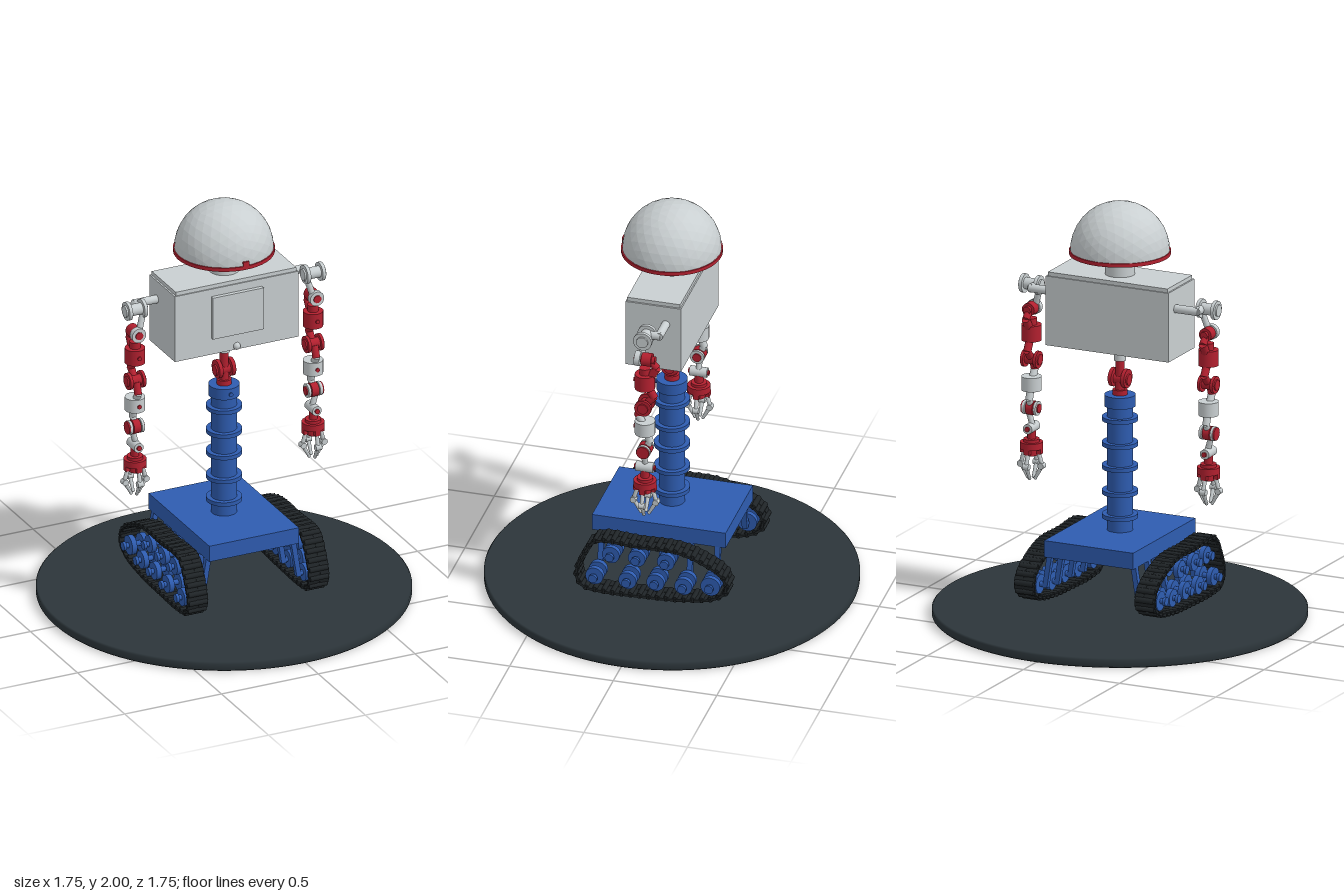
import * as THREE from 'three';

const mat = (name, color) => {
  const m = new THREE.MeshStandardMaterial({ color });
  m.name = name;
  return m;
};

export function createModel() {
  const shell = mat('light grey', 0xc9cfd1);
  const red = mat('red', 0xb3202f);
  const blue = mat('blue', 0x2e5cb0);
  const dark = mat('dark slate', 0x2c353a);
  const rubber = mat('track black', 0x1f2427);
  const root = new THREE.Group();
  const V = (x, y, z) => new THREE.Vector3(x, y, z);

  function group(name, parent = root) {
    const g = new THREE.Group();
    g.name = name;
    parent.add(g);
    return g;
  }
  function add(parent, name, geo, material, x = 0, y = 0, z = 0) {
    const m = new THREE.Mesh(geo, material);
    m.name = name;
    m.position.set(x, y, z);
    parent.add(m);
    return m;
  }
  const box = (p, name, m, w, h, d, x, y, z) => add(p, name, new THREE.BoxGeometry(w, h, d), m, x, y, z);
  const ball = (p, name, m, r, c) => add(p, name, new THREE.SphereGeometry(r, 16, 10), m, ...c);
  // Round bar between two points
  function rod(p, name, m, a, b, r, r2 = r, sides = 20) {
    const from = V(...a), dir = V(...b).sub(from), len = dir.length();
    const o = add(p, name, new THREE.CylinderGeometry(r2, r, len, sides), m);
    o.position.copy(from).addScaledVector(dir, 0.5);
    o.quaternion.setFromUnitVectors(V(0, 1, 0), dir.normalize());
    return o;
  }

  // Round stand with softened rim
  const rim = [[0, 0], [0.866, 0], [0.874, 0.008], [0.874, 0.037], [0.866, 0.045], [0, 0.045]];
  add(root, 'stand', new THREE.LatheGeometry(rim.map(p => new THREE.Vector2(...p)), 96), dark);

  // Chassis and ringed column
  box(root, 'chassis', blue, 0.463, 0.08, 0.645, 0, 0.375, -0.002);
  const column = group('column');
  rod(column, 'columnTube', blue, [0, 0.41, 0], [0, 1.05, 0], 0.061, 0.061, 32);
  for (const y of [0.484, 0.6, 0.722, 0.833, 0.955])
    rod(column, 'columnRing', blue, [0, y - 0.01, 0], [0, y + 0.01, 0], 0.084, 0.084, 32);
  rod(column, 'columnCap', blue, [0, 1.015, 0], [0, 1.07, 0], 0.073, 0.073, 32);
  rod(column, 'capBolt', blue, [0, 1.042, 0], [0, 1.042, 0.079], 0.01);

  // Caterpillar tracks with wheels and struts
  const path = [[0.27, 0.35], [0.07, 0.352], [-0.13, 0.35], [-0.26, 0.305], [-0.345, 0.25], [-0.365, 0.18],
    [-0.31, 0.132], [-0.15, 0.1], [0.05, 0.09], [0.24, 0.088], [0.335, 0.105], [0.362, 0.165], [0.32, 0.28]];
  const lowWheels = [[0.275, 0.16, 0.043], [0.115, 0.16, 0.043], [-0.02, 0.17, 0.043], [-0.155, 0.17, 0.043], [-0.285, 0.19, 0.047]];
  const topWheels = [[0.195, 0.285, 0.042], [0.07, 0.285, 0.042], [-0.07, 0.287, 0.042]];
  for (const s of [1, -1]) {
    const track = group(s > 0 ? 'leftTrack' : 'rightTrack');
    const loop = new THREE.CatmullRomCurve3(path.map(([z, y]) => V(s * 0.313, y, z)), true);
    const links = 40, pts = loop.getSpacedPoints(links);
    for (let i = 0; i < links; i++) {
      const a = pts[i], b = pts[i + 1];
      const link = group('trackLink', track);
      link.position.copy(a).add(b).multiplyScalar(0.5);
      link.rotation.x = Math.atan2(b.y - a.y, a.z - b.z);
      const len = a.distanceTo(b);
      for (const dx of [-0.03, 0.03]) box(link, 'trackPad', rubber, 0.046, 0.012, len * 0.8, dx, 0, 0);
      box(link, 'trackPlate', rubber, 0.06, 0.008, len, 0, 0, 0);
      const pin = add(link, 'trackPin', new THREE.CylinderGeometry(0.014, 0.014, 0.094, 10), rubber, 0, 0, len / 2);
      pin.rotation.z = Math.PI / 2;
    }
    for (const [z, y, r] of [...lowWheels, ...topWheels]) {
      const wheel = group('roadWheel', track);
      rod(wheel, 'wheelDisc', blue, [s * 0.27, y, z], [s * 0.295, y, z], r, r, 28);
      rod(wheel, 'wheelDisc', blue, [s * 0.331, y, z], [s * 0.356, y, z], r, r, 28);
      rod(wheel, 'axle', blue, [s * 0.235, y, z], [s * 0.375, y, z], 0.013);
      rod(wheel, 'hubCap', blue, [s * 0.372, y, z], [s * 0.386, y, z], 0.021);
      // Slanted strut from the chassis edge down to the axle
      const x0 = 0.212, x1 = 0.255 - (y - 0.16) * 0.22, y1 = y - 0.013;
      const strut = new THREE.Shape([[x0 - 0.008, 0.345], [x0 + 0.018, 0.345], [x1 + 0.006, y1], [x1 - 0.018, y1]]
        .map(([x, yy]) => new THREE.Vector2(s * x, yy)));
      add(wheel, 'strut', new THREE.ExtrudeGeometry(strut, { depth: 0.026, bevelEnabled: false }), blue, 0, 0, z - 0.013);
    }
  }

  // Waist joint
  const waist = group('waist');
  rod(waist, 'waistBase', red, [0, 1.06, 0], [0, 1.095, 0], 0.035);
  rod(waist, 'waistSocket', red, [0, 1.09, 0], [0, 1.14, 0], 0.024);
  rod(waist, 'waistPivot', red, [-0.05, 1.145, 0], [0.05, 1.145, 0], 0.026);
  for (const s of [1, -1]) rod(waist, 'waistDisc', red, [s * 0.024, 1.15, 0], [s * 0.042, 1.15, 0], 0.045);
  rod(waist, 'waistLink', red, [0, 1.14, 0], [0, 1.24, 0], 0.022);
  rod(waist, 'waistPost', shell, [0, 1.235, 0], [0, 1.295, 0], 0.029);
  rod(waist, 'waistPostTop', shell, [0, 1.295, 0], [0, 1.64, 0], 0.02);

  // Hollow torso, open underneath
  const torso = group('torso');
  const rect = (w, d, T) => {
    const t = new T();
    t.moveTo(-w, -d).lineTo(w, -d).lineTo(w, d).lineTo(-w, d).closePath();
    return t;
  };
  const wall = rect(0.319, 0.134, THREE.Shape);
  wall.holes.push(rect(0.304, 0.119, THREE.Path));
  const walls = add(torso, 'torsoWalls', new THREE.ExtrudeGeometry(wall, { depth: 0.335, bevelEnabled: false }), shell, 0, 1.3, 0);
  walls.rotation.x = -Math.PI / 2;
  box(torso, 'torsoLid', shell, 0.622, 0.02, 0.256, 0, 1.644, 0);
  box(torso, 'chestPanel', shell, 0.262, 0.212, 0.022, 0, 1.491, 0.143);
  ball(torso, 'chestKnob', shell, 0.018, [0, 1.318, 0.136]);

  // Neck and faceted dome head
  const head = group('head');
  rod(head, 'collar', shell, [0, 1.65, 0], [0, 1.712, 0], 0.07, 0.07, 32);
  rod(head, 'neck', red, [0, 1.71, 0], [0, 1.76, 0], 0.028);
  rod(head, 'neckRing', red, [0, 1.72, 0], [0, 1.737, 0], 0.039);
  rod(head, 'headPlate', red, [0, 1.752, 0], [0, 1.77, 0], 0.237, 0.237, 48);
  const dome = new THREE.IcosahedronGeometry(0.232, 5);
  const dp = dome.attributes.position;
  for (let i = 0; i < dp.count; i++) dp.setY(i, Math.max(0, dp.getY(i)));
  dome.computeVertexNormals();
  add(head, 'dome', dome, shell, 0, 1.768, 0);
  box(head, 'headLatch', red, 0.03, 0.028, 0.016, 0, 1.778, 0.23);

  // Arms: s mirrors the outward direction, local x = 0 is the arm line
  for (const s of [1, -1]) {
    const arm = group(s > 0 ? 'leftArm' : 'rightArm');
    arm.position.x = s * 0.46;
    const bar = (name, m, a, b, r, r2) => rod(arm, name, m, [s * a[0], a[1], a[2]], [s * b[0], b[1], b[2]], r, r2);
    // Hinge spool across x with a disc at each end
    const hinge = (name, y, w, r, core, discs) => {
      bar(name + 'Core', core, [-w, y, 0], [w, y, 0], r * 0.62);
      for (const e of [1, -1]) bar(name + 'Disc', discs, [e * w * 0.55, y, 0], [e * w * 0.85, y, 0], r);
    };
    bar('shoulderRod', shell, [-0.145, 1.542, -0.06], [-0.02, 1.542, -0.06], 0.02);
    bar('shoulderBracket', shell, [-0.03, 1.542, -0.068], [-0.03, 1.542, 0], 0.02);
    hinge('shoulder', 1.542, 0.055, 0.045, shell, shell);
    bar('shoulderLink', shell, [-0.035, 1.515, 0.01], [-0.012, 1.44, 0.02], 0.015);
    bar('upperPivotRing', shell, [0, 1.425, 0.018], [0, 1.425, 0.045], 0.036);
    bar('upperPivot', red, [0, 1.425, -0.05], [0, 1.425, 0.05], 0.019);
    bar('upperPivotBack', red, [0, 1.425, -0.035], [0, 1.425, 0.012], 0.032);
    bar('upperLinkTop', red, [0, 1.415, -0.03], [0, 1.385, -0.058], 0.018);
    bar('upperLinkBend', red, [0, 1.385, -0.058], [0, 1.34, -0.03], 0.02);
    bar('upperNeck', red, [0, 1.34, 0], [0, 1.38, 0], 0.026);
    bar('upperMotor', red, [0, 1.272, 0], [0, 1.348, 0], 0.048);
    bar('upperMotorBolt', red, [0, 1.31, 0], [0, 1.31, 0.054], 0.01);
    bar('upperRod', red, [0, 1.28, -0.015], [0, 1.225, -0.045], 0.019);
    bar('elbowLinkTop', red, [0, 1.23, -0.045], [0, 1.18, 0], 0.018);
    hinge('elbow', 1.18, 0.047, 0.041, red, red);
    bar('elbowLinkLow', red, [0, 1.175, 0.015], [0, 1.12, 0.035], 0.018);
    bar('elbowLinkFoot', shell, [0, 1.125, 0.034], [0, 1.085, 0.012], 0.018);
    bar('forearmMotor', shell, [0, 1.03, 0], [0, 1.097, 0], 0.048);
    bar('forearmBolt', red, [0, 1.062, 0], [0, 1.062, 0.053], 0.01);
    bar('forearmRod', shell, [0, 1.035, -0.01], [0, 0.985, -0.025], 0.018);
    bar('forearmLink', shell, [0, 0.99, -0.025], [0, 0.94, 0], 0.016);
    hinge('wrist', 0.943, 0.042, 0.034, red, shell);
    bar('wristCentre', red, [-0.018, 0.943, 0], [0.018, 0.943, 0], 0.034);
    bar('wristCap', red, [0.034, 0.943, 0], [0.043, 0.943, 0], 0.031);
    bar('wristLink', shell, [0.016, 0.93, 0], [-0.004, 0.86, 0], 0.014);
    bar('handPivot', shell, [0, 0.848, -0.042], [0, 0.848, 0.042], 0.024);
    bar('handPivotPin', red, [0, 0.848, -0.05], [0, 0.848, 0.05], 0.012);
    bar('handStem', red, [0, 0.775, 0], [0, 0.835, 0], 0.02);
    bar('handCollar', red, [0, 0.775, 0], [0, 0.795, 0], 0.038);
    bar('palm', red, [0, 0.748, 0], [0, 0.78, 0], 0.054);
    bar('palmHub', red, [0, 0.715, 0], [0, 0.75, 0], 0.03);

    // Four curved claws
    for (let i = 0; i < 4; i++) {
      const claw = group('claw', arm);
      claw.rotation.y = i * Math.PI / 2;
      box(claw, 'clawMount', red, 0.02, 0.026, 0.028, 0.043, 0.738, 0);
      rod(claw, 'clawUpper', shell, [0.036, 0.735, 0], [0.054, 0.672, 0], 0.01);
      rod(claw, 'clawKnuckle', shell, [0.054, 0.668, -0.015], [0.054, 0.668, 0.015], 0.015);
      rod(claw, 'clawTip', shell, [0.054, 0.668, 0], [0.02, 0.605, 0], 0.011, 0.007);
      ball(claw, 'clawEnd', shell, 0.008, [0.02, 0.605, 0]);
    }
  }
  return root;
}
